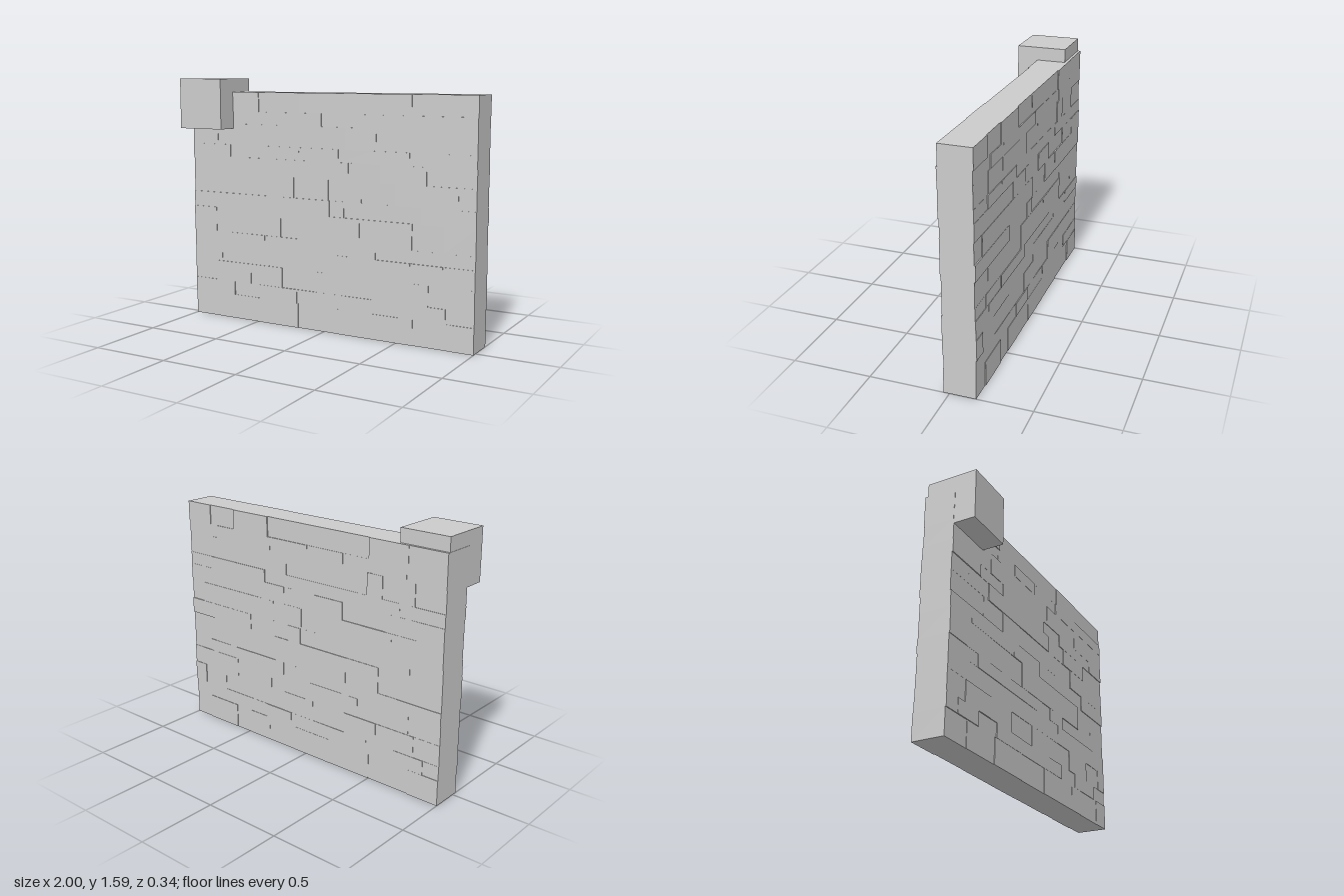
import * as THREE from 'three';

const material = new THREE.MeshStandardMaterial({ color: 0xcccccc, flatShading: true });

// Box given by its min and max corners
function block(name, x0, x1, y0, y1, z0, z1) {
  const mesh = new THREE.Mesh(new THREE.BoxGeometry(x1 - x0, y1 - y0, z1 - z0), material);
  mesh.position.set((x0 + x1) / 2, (y0 + y1) / 2, (z0 + z1) / 2);
  mesh.name = name;
  return mesh;
}

// Each course: bottom height and its vertical joints
const courses = [
  [0, [-0.79, -0.5, -0.19, 0.1, 0.31, 0.48, 0.61, 0.86]],
  [0.16, [-0.89, -0.68, -0.48, -0.2, 0.12, 0.33, 0.53, 0.82]],
  [0.25, [-0.82, -0.55, -0.31, -0.06, 0.18, 0.45, 0.71, 0.9]],
  [0.38, [-0.78, -0.41, -0.24, 0, 0.29, 0.59, 0.8]],
  [0.5, [-0.7, -0.44, -0.11, 0.08, 0.18, 0.36, 0.6, 0.84]],
  [0.58, [-0.82, -0.56, -0.32, -0.19, 0.04, 0.25, 0.6, 0.8]],
  [0.74, [-0.78, -0.55, -0.29, 0.04, 0.14, 0.46, 0.66]],
  [0.84, [-0.65, -0.43, -0.22, 0.03, 0.26, 0.49, 0.89]],
  [0.97, [-0.82, -0.6, -0.29, -0.18, -0.08, 0.17, 0.39, 0.69]],
  [1.08, [-0.7, -0.43, -0.18, 0.1, 0.33, 0.58, 0.8]],
  [1.16, [-0.8, -0.58, -0.47, -0.07, 0.15, 0.36, 0.56, 0.78]],
  [1.295, [-0.74, -0.5, -0.29, -0.02, 0.28, 0.55, 0.75]],
  [1.375, [-0.75, -0.48, -0.18, 0.04, 0.3, 0.59, 0.8]],
];
const wallTop = 1.5;

export function createModel() {
  const model = new THREE.Group();
  model.name = 'stoneWall';

  // Small seeded generator for the uneven stone faces
  let seed = 7;
  const random = () => (seed = (seed * 16807) % 2147483647) / 2147483647;

  // Wall stones, each slightly proud or recessed on both faces
  courses.forEach(([y0, joints], i) => {
    const course = new THREE.Group();
    course.name = `course${i + 1}`;
    const y1 = i + 1 < courses.length ? courses[i + 1][0] : wallTop;
    const edges = [-1, ...joints, 1];
    for (let j = 0; j + 1 < edges.length; j++) {
      const front = 0.03 + 0.008 * random();
      const back = -0.162 - 0.008 * random();
      course.add(block('stone', edges[j], edges[j + 1], y0, y1, back, front));
    }
    model.add(course);
  });

  // Large cube sitting over the upper right corner
  model.add(block('cornerCube', -0.998, -0.678, 1.265, 1.585, -0.15, 0.17));
  return model;
}
